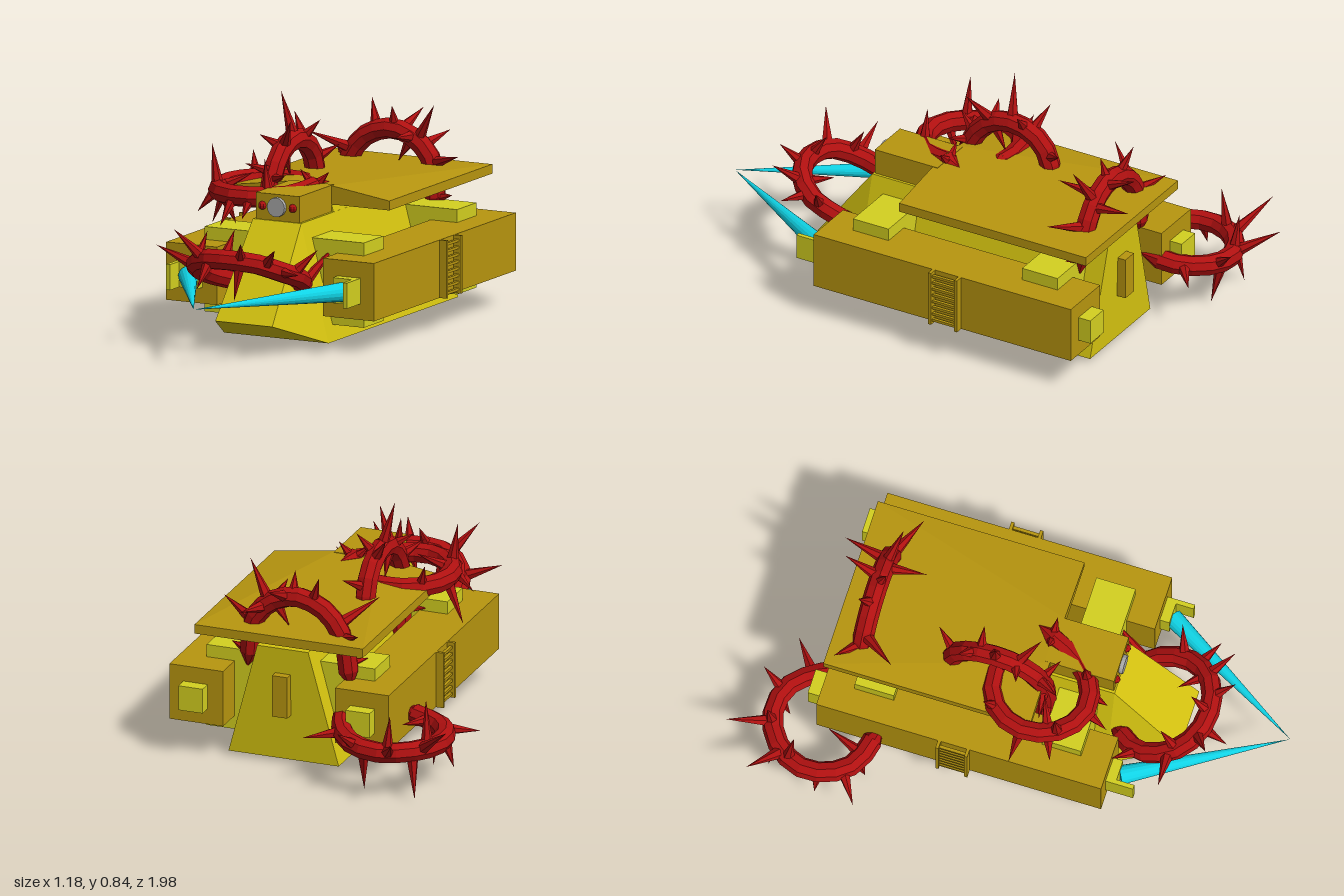
import * as THREE from 'three';
import { ConvexGeometry } from 'three/addons/geometries/ConvexGeometry.js';

const mat = (color) => new THREE.MeshStandardMaterial({ color, flatShading: true });
const V = (p) => new THREE.Vector3(...p);
const UP = new THREE.Vector3(0, 1, 0);

export function createModel() {
  const model = new THREE.Group();
  const tank = new THREE.Group();
  tank.name = 'tank';
  tank.position.x = 0.13;
  model.add(tank);

  const gold = mat(0xb8960f), yellow = mat(0xd4d020), hullYellow = mat(0xd6c410);
  const red = mat(0xb01010), cyan = mat(0x10d4e6), grey = mat(0xaaaaaa);

  const add = (parent, name, geometry, material) => {
    const m = new THREE.Mesh(geometry, material);
    m.name = name;
    parent.add(m);
    return m;
  };
  // Box given by its extents along each axis
  const box = (name, [x0, x1], [y0, y1], [z0, z1], material) => {
    const m = add(tank, name, new THREE.BoxGeometry(Math.abs(x1 - x0), y1 - y0, z1 - z0), material);
    m.position.set((x0 + x1) / 2, (y0 + y1) / 2, (z0 + z1) / 2);
    return m;
  };
  // Convex solid from half of its corners, mirrored in x
  const mirroredSolid = (name, corners, material) =>
    add(tank, name, new ConvexGeometry(corners.flatMap(([x, y, z]) =>
      [new THREE.Vector3(x, y, z), new THREE.Vector3(-x, y, z)])), material);
  // Cone with its base at one point and its tip at another
  const spike = (parent, name, from, to, radius, sides, material) => {
    const dir = to.clone().sub(from);
    const m = add(parent, name, new THREE.ConeGeometry(radius, dir.length(), sides), material);
    m.position.copy(from).addScaledVector(dir, 0.5);
    m.quaternion.setFromUnitVectors(UP, dir.normalize());
    return m;
  };

  // Hull, neck and roof
  mirroredSolid('hull', [
    [0.216, 0.025, -0.64], [0.216, 0.025, 0.355], [0.118, 0.12, 0.605],
    [0.1, 0.458, 0.35], [0.1, 0.458, -0.65],
  ], hullYellow);
  mirroredSolid('neck', [
    [0.1, 0.455, 0.1], [0.1, 0.455, -0.35], [0.09, 0.49, 0.1], [0.09, 0.49, -0.31],
  ], hullYellow);
  mirroredSolid('roof', [
    [0.33, 0.485, 0.1], [0.33, 0.485, -0.69], [0.33, 0.52, 0.1],
    [0.33, 0.52, -0.69], [0.09, 0.555, 0.1],
  ], gold);
  box('rearHatch', [-0.03, 0.03], [0.2, 0.36], [-0.68, -0.63], gold);

  // Head with lens and side lamps
  box('head', [-0.09, 0.09], [0.458, 0.556], [0.08, 0.345], gold);
  const lens = add(tank, 'lens', new THREE.CylinderGeometry(0.036, 0.036, 0.03, 16), grey);
  lens.rotation.x = Math.PI / 2;
  lens.position.set(0, 0.51, 0.345);
  for (const s of [-1, 1]) {
    const lamp = add(tank, 'lamp', new THREE.SphereGeometry(0.016, 8, 6), red);
    lamp.position.set(s * 0.063, 0.51, 0.345);
  }

  // Side pods with their struts, brackets, horns and ladders
  for (const s of [-1, 1]) {
    const sx = (a, b) => [s * a, s * b];
    box('sidePod', sx(0.22, 0.43), [0.135, 0.35], [-0.685, 0.403], gold);
    for (const z of [0.22, -0.495])
      box('strut', sx(0.08, 0.33), [0.083, 0.398], [z - 0.075, z + 0.075], yellow);
    box('frontBracket', sx(0.28, 0.375), [0.195, 0.29], [0.39, 0.44], yellow);
    box('bracketLip', sx(0.358, 0.375), [0.195, 0.29], [0.4, 0.508], yellow);
    box('rearBracket', sx(0.28, 0.375), [0.195, 0.29], [-0.735, -0.68], yellow);
    spike(tank, 'horn', V([s * 0.32, 0.24, 0.44]), V([0, 0.24, 0.99]), 0.036, 16, cyan);
    for (const z of [-0.215, -0.105])
      box('ladderRail', sx(0.43, 0.46), [0.135, 0.35], [z - 0.006, z + 0.006], gold);
    for (let i = 0; i < 8; i++) {
      const y = 0.15 + i * 0.026;
      box('ladderRung', sx(0.439, 0.451), [y - 0.005, y + 0.005], [-0.21, -0.11], gold);
    }
  }

  // Thorny vines: a path, and the tips of the thorns growing from it
  const vine = (name, path, tips) => {
    const g = new THREE.Group();
    g.name = name;
    model.add(g);
    const curve = new THREE.CatmullRomCurve3(path.map(V));
    add(g, 'stem', new THREE.TubeGeometry(curve, 14, 0.039, 8), red);
    const samples = curve.getSpacedPoints(28);
    for (const p of tips) {
      const tip = V(p);
      const root = samples.reduce((a, b) => (b.distanceTo(tip) < a.distanceTo(tip) ? b : a));
      spike(g, 'thorn', root, tip, 0.026, 6, red);
    }
    // Tapered ends
    for (const t of [0, 1]) {
      const end = curve.getPoint(t);
      const dir = curve.getTangent(t).multiplyScalar(t ? 0.07 : -0.07);
      spike(g, 'stemEnd', end, end.clone().add(dir), 0.039, 8, red);
    }
  };

  vine('frontVine', [
    [-0.04, 0.24, 0.4], [-0.09, 0.27, 0.48], [-0.07, 0.32, 0.6], [0, 0.36, 0.67],
    [0.11, 0.37, 0.69], [0.21, 0.36, 0.66], [0.28, 0.32, 0.58], [0.29, 0.28, 0.47], [0.26, 0.24, 0.4],
  ], [
    [-0.235, 0.38, 0.6], [-0.09, 0.475, 0.735], [0.38, 0.33, 0.65], [0.32, 0.43, 0.72],
    [0.33, 0.38, 0.25], [0.14, 0.22, 0.7], [0.1, 0.47, 0.62], [-0.05, 0.44, 0.55],
    [0.38, 0.4, 0.5], [-0.17, 0.33, 0.4], [0.03, 0.27, 0.78], [0.2, 0.45, 0.76], [0.16, 0.35, 0.55],
  ]);
  vine('rearSideVine', [
    [-0.11, 0.23, -0.66], [-0.14, 0.21, -0.74], [-0.21, 0.2, -0.82], [-0.31, 0.19, -0.845],
    [-0.42, 0.19, -0.8], [-0.49, 0.19, -0.7], [-0.485, 0.19, -0.59], [-0.42, 0.19, -0.5], [-0.32, 0.2, -0.465],
  ], [
    [-0.43, 0.28, -0.99], [-0.595, 0.31, -0.86], [-0.02, 0.2, -0.84], [-0.57, 0.17, -0.46],
    [-0.33, 0.22, -0.63], [-0.46, 0.37, -0.72], [-0.455, 0.015, -0.82], [-0.39, 0.01, -0.47],
    [-0.25, 0.02, -0.8], [-0.37, 0.34, -0.85], [-0.19, 0.27, -0.92], [-0.53, 0.08, -0.62],
  ]);
  vine('rearRoofVine', [
    [-0.1, 0.38, -0.58], [-0.08, 0.5, -0.58], [-0.01, 0.6, -0.58], [0.1, 0.64, -0.58],
    [0.2, 0.61, -0.58], [0.27, 0.53, -0.58], [0.29, 0.4, -0.57],
  ], [
    [0.3, 0.75, -0.54], [0.42, 0.575, -0.5], [0.255, 0.62, -0.75], [-0.17, 0.63, -0.44],
    [0.16, 0.7, -0.72], [0, 0.74, -0.62], [0.13, 0.52, -0.58], [-0.14, 0.4, -0.48],
    [0.37, 0.42, -0.55], [-0.17, 0.55, -0.66], [0.2, 0.64, -0.42], [0.12, 0.73, -0.55],
  ]);
  vine('uprightVine', [
    [-0.035, 0.28, 0.1], [-0.035, 0.42, 0.11], [-0.035, 0.54, 0.09], [-0.035, 0.635, 0.02],
    [-0.035, 0.67, -0.07], [-0.035, 0.65, -0.17], [-0.035, 0.58, -0.235], [-0.035, 0.49, -0.25],
  ], [
    [-0.08, 0.85, -0.07], [0.035, 0.77, 0.07], [-0.1, 0.75, -0.21], [0.03, 0.62, -0.32],
    [-0.1, 0.62, 0.17], [-0.16, 0.5, 0.12], [0.04, 0.74, -0.15], [-0.035, 0.54, -0.06],
    [-0.12, 0.36, 0.15], [0.05, 0.58, 0.14], [-0.12, 0.7, 0.02],
  ]);
  vine('sideVine', [
    [0.02, 0.52, -0.07], [-0.09, 0.52, -0.08], [-0.18, 0.52, -0.03], [-0.225, 0.52, 0.07],
    [-0.2, 0.52, 0.19], [-0.11, 0.52, 0.27], [0, 0.52, 0.265], [0.09, 0.52, 0.19], [0.14, 0.54, 0.08],
  ], [
    [-0.22, 0.69, 0.2], [-0.3, 0.36, 0.05], [-0.28, 0.43, 0.2], [-0.1, 0.42, 0.36],
    [0.02, 0.66, 0.24], [-0.02, 0.45, 0.34], [-0.09, 0.58, 0.12], [-0.2, 0.62, -0.08],
    [0.17, 0.44, 0.36], [0.08, 0.6, 0.08], [0.2, 0.6, 0.08], [-0.12, 0.4, 0.2],
  ]);

  return model;
}
